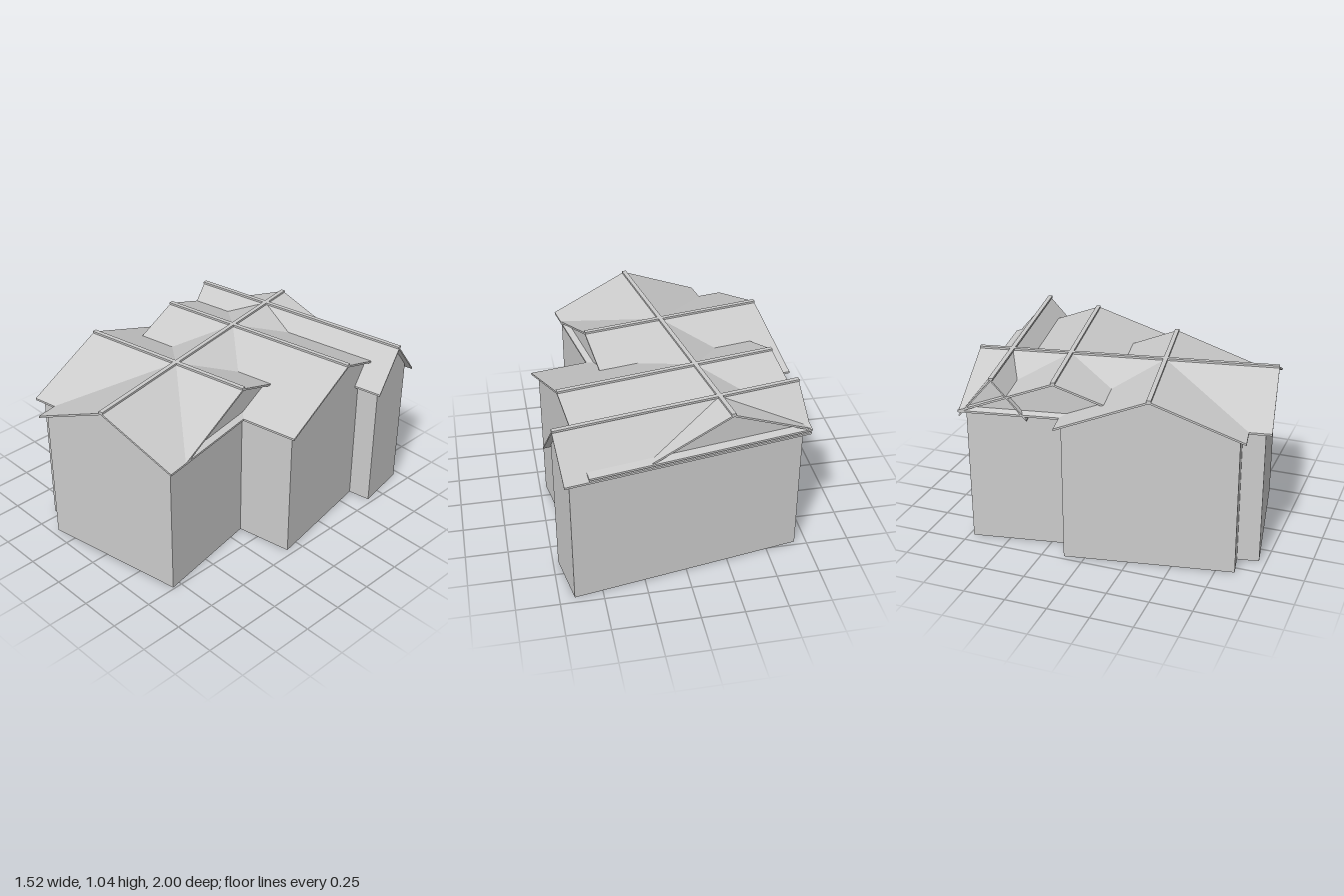
import * as THREE from 'three';

const material = new THREE.MeshStandardMaterial({
  color: 0xcccccc, flatShading: true, side: THREE.DoubleSide,
});
const WALL_TOP = 0.84, PEAK = 1.037, SLAB = 0.012, OVERHANG = 0.035;

function addMesh(parent, name, geometry) {
  const mesh = new THREE.Mesh(geometry, material);
  mesh.name = name;
  parent.add(mesh);
  return mesh;
}

function polygon(points) {
  return new THREE.Shape(points.map(([x, y]) => new THREE.Vector2(x, y)));
}

// Open shell of vertical walls around a footprint of [x, z] corners
function wallGeometry(corners, height) {
  const positions = [];
  corners.forEach(([x0, z0], i) => {
    const [x1, z1] = corners[(i + 1) % corners.length];
    positions.push(x0, 0, z0, x1, 0, z1, x1, height, z1);
    positions.push(x0, 0, z0, x1, height, z1, x0, height, z0);
  });
  const geometry = new THREE.BufferGeometry();
  geometry.setAttribute('position', new THREE.Float32BufferAttribute(positions, 3));
  geometry.computeVertexNormals();
  return geometry;
}

// Gable roof with its ridge along local z: two thin slopes, end gables, ridge cap
function gableRoof(name, halfWidth, length, eave) {
  const roof = new THREE.Group();
  roof.name = name;

  const slopes = polygon([
    [-halfWidth, eave - SLAB], [0, PEAK - SLAB], [halfWidth, eave - SLAB],
    [halfWidth, eave], [0, PEAK], [-halfWidth, eave],
  ]);
  const slab = new THREE.ExtrudeGeometry(slopes, { depth: length, bevelEnabled: false });
  addMesh(roof, 'roofSlopes', slab.translate(0, 0, -length / 2));

  const wallHalf = halfWidth - OVERHANG;
  const gable = polygon([[-wallHalf, WALL_TOP - 0.005], [wallHalf, WALL_TOP - 0.005], [0, PEAK - SLAB / 2]]);
  for (const side of [-1, 1]) {
    const end = addMesh(roof, 'gableWall', new THREE.ShapeGeometry(gable));
    end.position.z = side * (length / 2 - OVERHANG);
    if (side < 0) end.rotation.y = Math.PI;
  }

  const cap = addMesh(roof, 'ridgeCap', new THREE.BoxGeometry(0.026, 0.012, length));
  cap.position.y = PEAK + 0.002;
  return roof;
}

export function createModel() {
  const model = new THREE.Group();
  model.name = 'house';

  // The whole house is turned slightly on its plot
  const house = new THREE.Group();
  house.name = 'houseBody';
  house.rotation.y = THREE.MathUtils.degToRad(10);
  model.add(house);

  // Stepped outer walls, counter-clockwise from above
  addMesh(house, 'outerWalls', wallGeometry([
    [-0.545, 0.878], [0.343, 0.878], [0.343, 0.214], [0.685, 0.214],
    [0.685, -0.505], [0.82, -0.505], [0.82, -0.83], [-0.545, -0.83],
    [-0.545, -0.245], [-0.69, -0.245], [-0.69, 0.75], [-0.545, 0.75],
  ], WALL_TOP));

  // Three parallel roofs running side to side
  const sideRoofs = [
    { name: 'frontRoof', x0: -0.725, x1: 0.378, z: 0.252, half: 0.533, eave: 0.833 },
    { name: 'middleRoof', x0: -0.58, x1: 0.72, z: -0.312, half: 0.56, eave: 0.833 },
    { name: 'backRoof', x0: -0.58, x1: 0.855, z: -0.667, half: 0.198, eave: 0.807 },
  ];
  for (const { name, x0, x1, z, half, eave } of sideRoofs) {
    const roof = gableRoof(name, half, x1 - x0, eave);
    roof.rotation.y = Math.PI / 2;
    roof.position.set((x0 + x1) / 2, 0, z);
    house.add(roof);
  }

  // Cross roof running front to back over all three
  const cross = gableRoof('crossRoof', 0.478, 1.778, 0.833);
  cross.position.set(-0.101, 0, 0.024);
  house.add(cross);

  return model;
}
